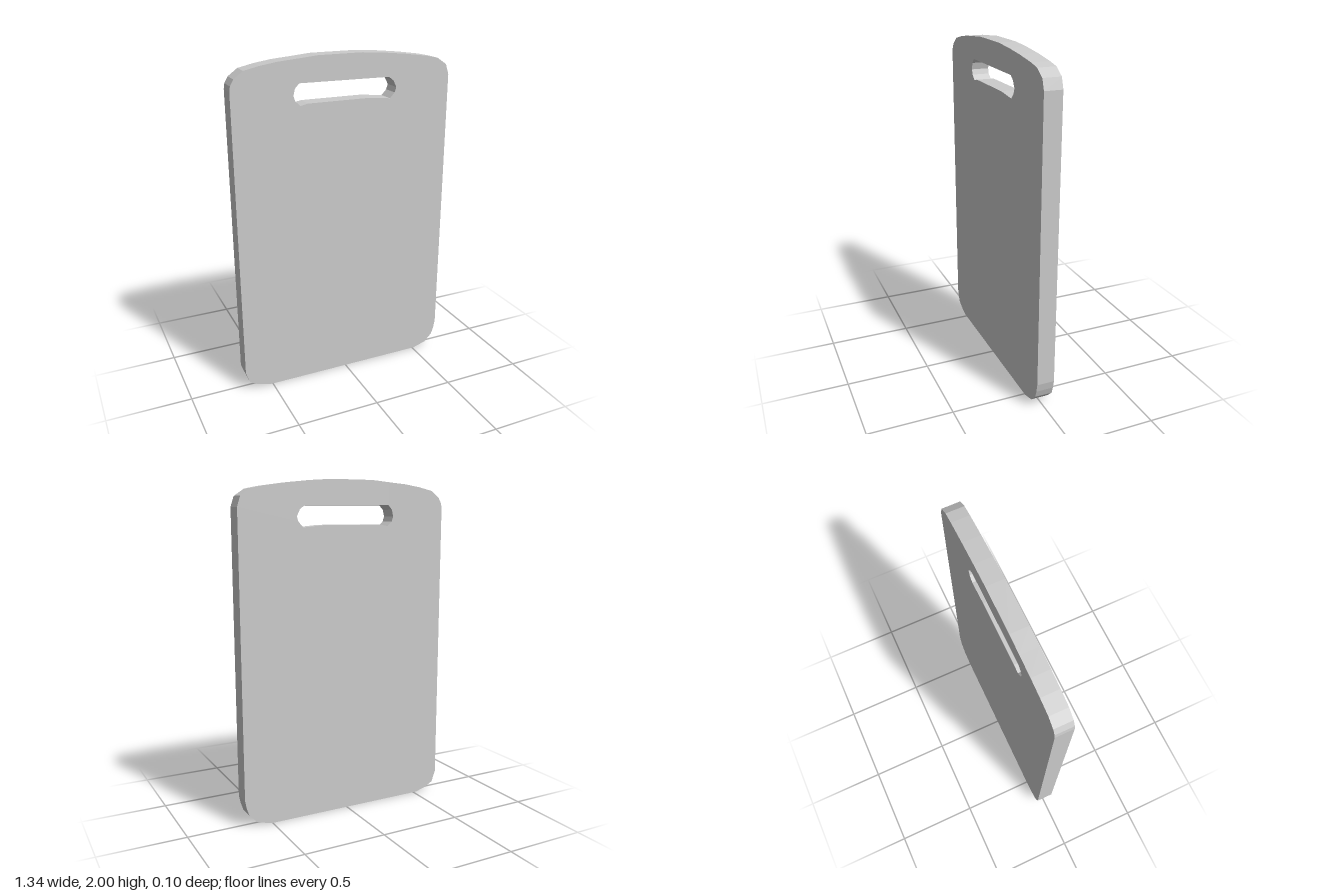
import * as THREE from 'three';

const toPoints = (list) => list.map(([x, y]) => new THREE.Vector2(x, y));

export function createModel() {
  const group = new THREE.Group();
  group.name = 'cuttingBoard';
  const thickness = 0.105;

  // Board outline, counter-clockwise: flat base, rounded corners, bowed top
  const outline = new THREE.Shape(toPoints([
    [-0.52, 0], [0.51, 0], [0.595, 0.025], [0.645, 0.075], [0.66, 0.12], [0.67, 0.17],
    [0.67, 1.84], [0.65, 1.9], [0.59, 1.94], [0.52, 1.955], [0.38, 1.975], [0.24, 1.99],
    [0.1, 2], [-0.17, 2], [-0.28, 1.99], [-0.4, 1.98], [-0.5, 1.965], [-0.59, 1.945],
    [-0.645, 1.905], [-0.665, 1.87], [-0.67, 1.84],
    [-0.67, 0.12], [-0.645, 0.05], [-0.595, 0.022],
  ]));

  // Handle slot with rounded ends
  outline.holes.push(new THREE.Path(toPoints([
    [-0.28, 1.857], [0.27, 1.852], [0.3, 1.83], [0.32, 1.79], [0.31, 1.76], [0.28, 1.728],
    [0.23, 1.733], [0.14, 1.742], [-0.23, 1.742], [-0.275, 1.733], [-0.305, 1.76],
    [-0.315, 1.79], [-0.305, 1.83],
  ])));

  const geometry = new THREE.ExtrudeGeometry(outline, { depth: thickness, bevelEnabled: false });
  geometry.translate(0, 0, -thickness / 2);

  const board = new THREE.Mesh(
    geometry,
    new THREE.MeshStandardMaterial({ color: 0xcccccc, flatShading: true }),
  );
  board.name = 'board';
  group.add(board);
  return group;
}
